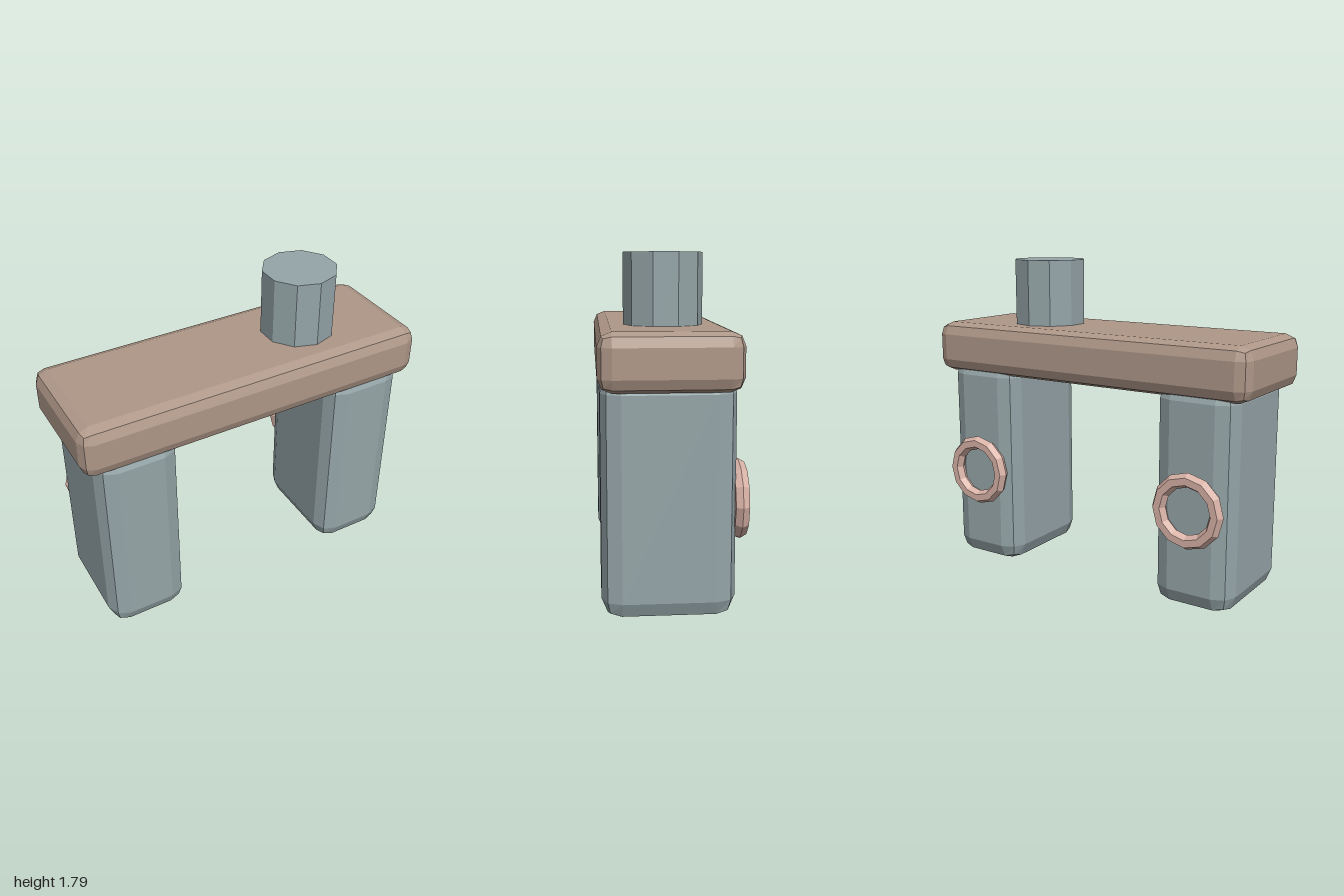
import * as THREE from 'three';
import { RoundedBoxGeometry } from 'three/addons/geometries/RoundedBoxGeometry.js';

const material = (color) => new THREE.MeshStandardMaterial({ color, flatShading: true });

export function createModel() {
  const model = new THREE.Group();
  const stone = material(0x95a5a8);
  const wood = material(0xae9788);
  const copper = material(0xd8b2a6);

  const add = (name, geometry, mat, x, y, z) => {
    const mesh = new THREE.Mesh(geometry, mat);
    mesh.name = name;
    mesh.position.set(x, y, z);
    model.add(mesh);
    return mesh;
  };

  // Slab across both legs, with two-facet bevels
  add('slab', new RoundedBoxGeometry(2, 0.287, 0.695, 1, 0.07), wood, 0, 1.275, 0.021);

  // Ten-sided post standing off-centre on the slab
  add('post', new THREE.CylinderGeometry(0.205, 0.205, 0.405, 10), stone, 0.42, 1.583, 0.021);

  // Legs run up into the slab; each carries a ring on its back
  const legGeometry = new RoundedBoxGeometry(0.456, 1.22, 0.66, 1, 0.1);
  const ringGeometry = new THREE.TorusGeometry(0.166, 0.039, 6, 12);
  for (const [side, s] of [['left', 1], ['right', -1]]) {
    add(side + 'Leg', legGeometry, stone, s * 0.695, 0.61, 0.025);
    add(side + 'Ring', ringGeometry, copper, s * 0.697, 0.561, -0.333);
  }

  return model;
}
